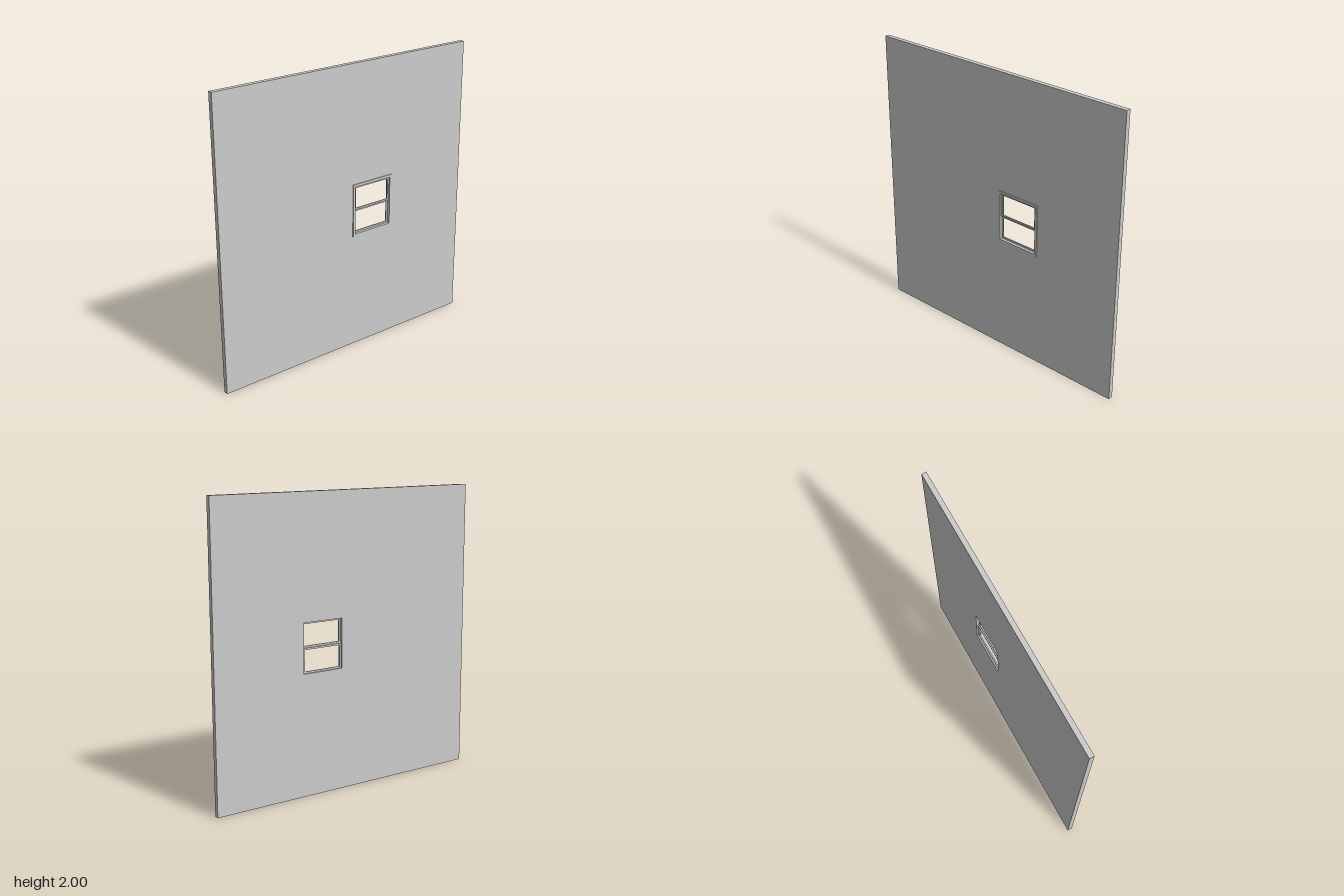
import * as THREE from 'three';

const material = new THREE.MeshStandardMaterial({ color: 0xcccccc, flatShading: true });

// Rectangle in the (z, y) plane, given by its centre and half sizes
function rectangle(Type, z, y, halfZ, halfY) {
  // Shape x runs along -z so that the extrusion faces +x
  return new Type([
    new THREE.Vector2(-z - halfZ, y - halfY),
    new THREE.Vector2(-z + halfZ, y - halfY),
    new THREE.Vector2(-z + halfZ, y + halfY),
    new THREE.Vector2(-z - halfZ, y + halfY),
  ]);
}

// Slab with a rectangular hole, spanning x0 to x1
function frame(name, outer, inner, x0, x1) {
  const shape = rectangle(THREE.Shape, ...outer);
  shape.holes.push(rectangle(THREE.Path, ...inner));
  const geometry = new THREE.ExtrudeGeometry(shape, { depth: x1 - x0, bevelEnabled: false });
  geometry.rotateY(Math.PI / 2);
  geometry.translate(x0, 0, 0);
  const mesh = new THREE.Mesh(geometry, material);
  mesh.name = name;
  return mesh;
}

export function createModel() {
  const group = new THREE.Group();
  group.name = 'wallWithWindow';

  const z = -0.2, y = 1;                 // window centre
  const halfZ = 0.149, halfY = 0.168;    // window opening
  const trim = 0.018, rail = 0.012;      // border widths
  const back = -0.0195, face = 0.0135, front = 0.0195;
  const opening = [z, y, halfZ, halfY];

  // Wall panel and the casing on its outer face
  group.add(frame('wall', [0, 1, 1, 1], opening, back, face));
  group.add(frame('windowTrim', [z, y, halfZ + trim, halfY + trim], opening, face, front));

  // Two sashes, the lower one set further back
  const sashHalf = halfY / 2;
  for (const [name, side, x0] of [['upperSash', 1, 0], ['lowerSash', -1, -0.009]]) {
    const cy = y + side * sashHalf;
    group.add(frame(name, [z, cy, halfZ, sashHalf],
      [z, cy, halfZ - rail, sashHalf - rail], x0, x0 + 0.009));
  }
  return group;
}
